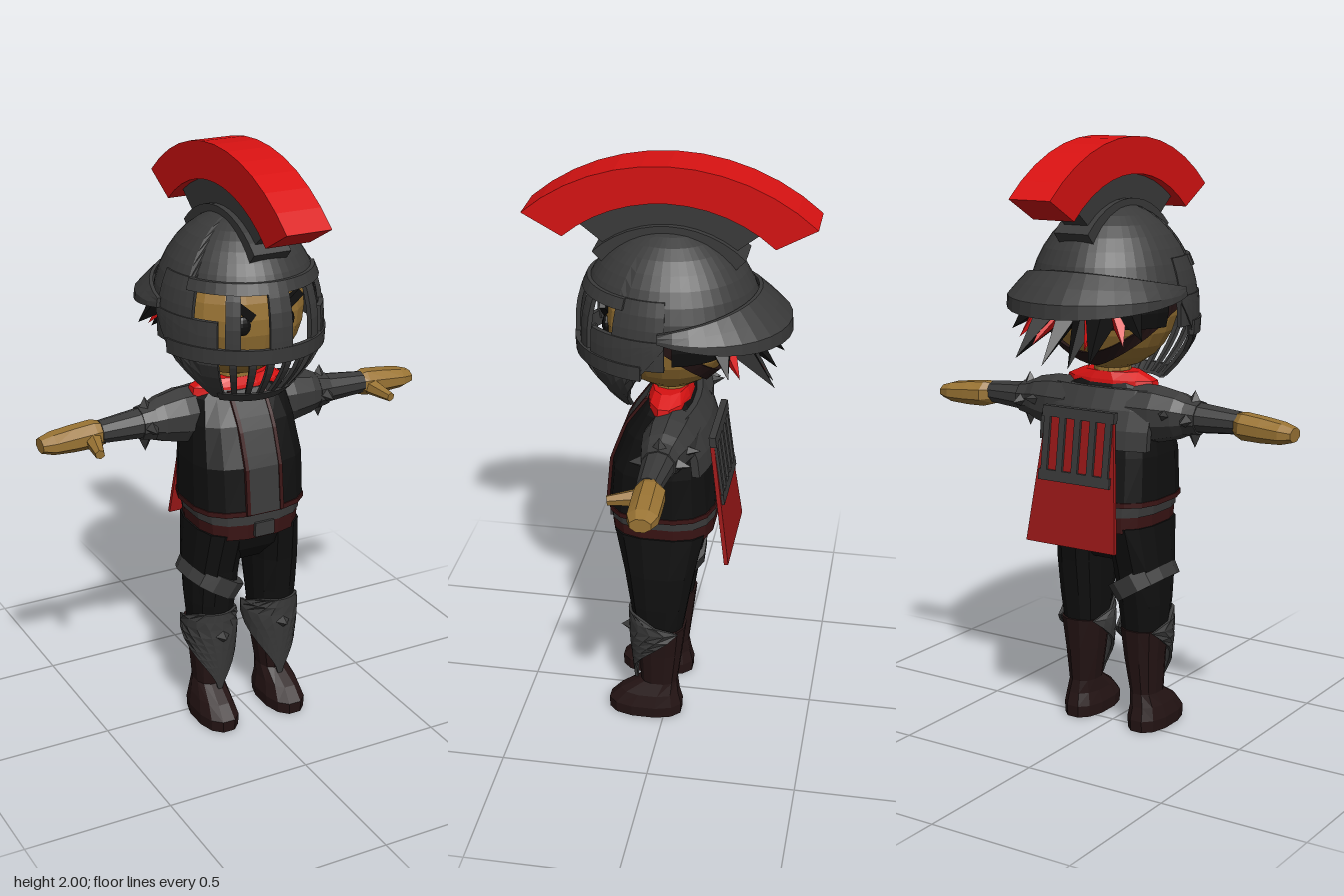
import * as THREE from 'three';

const GREY = 0x3a3a3a, BLACK = 0x101010, RED = 0xd81212, CLOTH = 0x9c1818, SKIN = 0x9a7434, BOOT = 0x241414, TRIM = 0x3a1414;
const V = (x, y, z) => new THREE.Vector3(x, y, z);
const D = Math.PI / 180;

// Stacked rings along y; each row is [y, centre x, centre z, radius x, radius z]
function loft(rows, n = 12, p = 1) {
  const pos = [], idx = [], soft = t => Math.sign(t) * Math.abs(t) ** p;
  for (const [y, cx, cz, rx, rz] of rows)
    for (let j = 0; j < n; j++) {
      const a = (j + 0.5) / n * Math.PI * 2;
      pos.push(cx + rx * soft(Math.sin(a)), y, cz + rz * soft(Math.cos(a)));
    }
  for (let i = 0; i < rows.length - 1; i++)
    for (let j = 0; j < n; j++) {
      const k = (j + 1) % n, a = i * n + j, b = i * n + k;
      idx.push(a, b, b + n, a, b + n, a + n);
    }
  const top = (rows.length - 1) * n;
  for (let j = 1; j < n - 1; j++) idx.push(0, j + 1, j, top, top + j, top + j + 1);
  const g = new THREE.BufferGeometry();
  g.setAttribute('position', new THREE.Float32BufferAttribute(pos, 3));
  g.setIndex(idx);
  g.computeVertexNormals();
  return g;
}

// A thin slab bent by a rule: u in -1..1 across, v in 0..1 upward, w in 0..1 outward
function warp(nu, nv, rule) {
  const g = new THREE.BoxGeometry(2, 1, 1, nu, nv, 1), p = g.attributes.position;
  for (let i = 0; i < p.count; i++) {
    const q = rule(p.getX(i), p.getY(i) + 0.5, p.getZ(i) + 0.5);
    p.setXYZ(i, q.x, q.y, q.z);
  }
  g.computeVertexNormals();
  return g;
}

// Tapered rod or spike between two points
function rod(a, b, r0, r1 = 0, n = 4) {
  const d = b.clone().sub(a), g = new THREE.CylinderGeometry(r1, r0, d.length(), n);
  g.applyQuaternion(new THREE.Quaternion().setFromUnitVectors(V(0, 1, 0), d.clone().normalize()));
  const m = a.clone().add(b).multiplyScalar(0.5);
  return g.translate(m.x, m.y, m.z);
}

function box(w, h, d, x, y, z, tilt = 0) {
  return new THREE.BoxGeometry(w, h, d).rotateZ(tilt).translate(x, y, z);
}

function mirrored(src) {
  const g = src.index ? src.toNonIndexed() : src.clone();
  g.scale(-1, 1, 1);
  const p = g.attributes.position, a = V(0, 0, 0), b = V(0, 0, 0);
  for (let i = 0; i < p.count; i += 3) {
    a.fromBufferAttribute(p, i + 1); b.fromBufferAttribute(p, i + 2);
    p.setXYZ(i + 1, b.x, b.y, b.z); p.setXYZ(i + 2, a.x, a.y, a.z);
  }
  g.computeVertexNormals();
  return g;
}

// Arched band in the z-y plane between two arcs [centre y, radius], spread over +-half degrees
function arch(outer, inner, half, w) {
  const pts = [], N = 12;
  for (let i = 0; i <= N; i++) { const a = (i / N * 2 - 1) * half * D; pts.push(new THREE.Vector2(Math.sin(a) * outer[1], outer[0] + Math.cos(a) * outer[1])); }
  for (let i = N; i >= 0; i--) { const a = (i / N * 2 - 1) * half * D; pts.push(new THREE.Vector2(Math.sin(a) * inner[1], inner[0] + Math.cos(a) * inner[1])); }
  return new THREE.ExtrudeGeometry(new THREE.Shape(pts), { depth: 2 * w, bevelEnabled: false }).translate(0, 0, -w).rotateY(-Math.PI / 2);
}

// Helmet surface at azimuth a (degrees from the front) and height y
function helm(a, y, off = 0) {
  const s = y > 1.45 ? Math.sqrt(Math.max(0, 1 - ((y - 1.45) / 0.34) ** 2))
    : y > 1.38 ? 1 : 1 - 0.42 * ((1.38 - y) / 0.18) ** 1.5;
  return V(Math.sin(a * D) * (0.27 * s + off), y, Math.cos(a * D) * (0.3 * s + off));
}
const plate = (a0, a1, lo, hi, off = 0, nu = 6, nv = 5) => warp(nu, nv, (u, v, w) => {
  const a = a0 + (a1 - a0) * (u + 1) / 2, l = typeof lo === 'function' ? lo(a) : lo;
  return helm(a, l + (hi - l) * v, off - 0.016 + 0.016 * w);
});

// Head surface
function headAt(a, y, off) {
  const s = Math.sqrt(Math.max(0, 1 - ((y - 1.48) / 0.24) ** 2));
  return V(Math.sin(a * D) * (0.225 * s + off), y, Math.cos(a * D) * (0.215 * s + off));
}

export function createModel() {
  const root = new THREE.Group();
  const mats = {};
  const add = (name, g, color) => {
    mats[color] ??= new THREE.MeshStandardMaterial({ color, flatShading: true });
    const m = new THREE.Mesh(g, mats[color]);
    m.name = name;
    root.add(m);
  };
  const pair = (name, g, color) => { add(name + 'Left', g, color); add(name + 'Right', mirrored(g), color); };

  // Head and face
  add('head', new THREE.SphereGeometry(1, 20, 14).scale(0.225, 0.24, 0.215).translate(0, 1.48, 0), SKIN);
  add('neck', loft([[1.17, 0, 0, 0.07, 0.06], [1.28, 0, 0, 0.06, 0.06]], 10), SKIN);
  pair('eye', new THREE.SphereGeometry(1, 10, 8).scale(0.028, 0.032, 0.015).translate(0.078, 1.465, 0.198), BLACK);
  pair('eyebrow', box(0.1, 0.028, 0.02, 0.085, 1.52, 0.2, 0.7), BLACK);
  add('mouth', box(0.05, 0.015, 0.02, 0, 1.35, 0.18), TRIM);
  add('headStrap', warp(18, 1, (u, v, w) => {
    const a = 180 + u * 95, k = Math.max(0, -Math.cos(a * D));
    return headAt(a, 1.48 - 0.19 * k + (v - 0.5) * 0.05, 0.015 * w);
  }), BOOT);

  // Hair: a layer at the back and a fringe of spikes
  add('hairBack', warp(14, 4, (u, v, w) => headAt(180 + u * 80, 1.4 + 0.2 * v, -0.01 + 0.03 * w)), BLACK);
  for (const [x, y, z, r, c] of [[0.14, 1.31, -0.355, 0.07, BLACK], [0.05, 1.29, -0.34, 0.06, BLACK], [0.25, 1.38, -0.22, 0.06, BLACK],
    [0.1, 1.35, -0.32, 0.05, RED], [0.2, 1.36, -0.25, 0.05, RED]])
    pair('hairSpike', rod(V(x * 0.6, 1.49, -0.17), V(x, y, z), r), c);

  // Helmet
  add('helmetDome', warp(48, 9, (u, v, w) => {
    const a = u * 180, low = Math.asin(((Math.abs(a) < 64 ? 1.6 : 1.5) - 1.45) / 0.34);
    return helm(a, 1.45 + 0.34 * Math.sin(low + (Math.PI / 2 - low) * v), -0.012 * (1 - w) * (1 - v));
  }), GREY);
  add('neckGuard', warp(20, 3, (u, v, w) => {
    const a = 180 + u * 90, k = Math.max(0, -Math.cos(a * D));
    const y = 1.5 - 0.05 * k + v * (0.03 + 0.11 * k);
    return helm(a, y, 0.006 + 0.012 * w + 0.075 * k * Math.min(1, 1.5 * (1 - v)));
  }), GREY);
  add('browRim', plate(-66, 66, 1.585, 1.62, 0.012, 18, 1), GREY);
  add('noseGuard', plate(-8, 8, 1.39, 1.62, 0.012, 2), GREY);
  pair('eyeBar', plate(27, 37, 1.39, 1.61, 0.006, 2), GREY);
  pair('sidePanel', plate(60, 94, 1.4, 1.62, 0.004), GREY);
  add('mouthBand', plate(-80, 80, 1.365, 1.415, 0.014, 22, 1), GREY);
  for (const a of [6.5, 19, 32]) pair('mouthBar', plate(a - 2.5, a + 2.5, 1.21, 1.38, 0.004, 1, 6), GREY);
  add('chinRim', plate(-48, 48, 1.2, 1.235, 0.01, 12, 2), GREY);
  pair('cheekGuard', plate(42, 94, a => 1.21 + 0.27 * Math.max(0, (a - 55) / 39), 1.5, 0.008, 8, 6), GREY);

  // Crest and its holder
  add('crest', arch([1.295, 0.705], [1.37, 0.51], 41.5, 0.077), RED);
  add('crestHolder', arch([1.37, 0.515], [1.45, 0.3], 35, 0.045), GREY);
  add('crestBase', arch([1.45, 0.352], [1.45, 0.3], 44, 0.065), GREY);

  // Torso
  const rows = [[0.81, 0, 0.022, 0.2, 0.183], [0.97, 0, 0.02, 0.2, 0.17], [1.1, 0, 0.002, 0.185, 0.14], [1.18, 0, 0, 0.165, 0.085], [1.215, 0, 0, 0.12, 0.06]];
  const chest = y => {
    const i = Math.max(0, Math.min(3, rows.findIndex(r => r[0] > y) - 1)), [p, q] = [rows[i], rows[i + 1]];
    return THREE.MathUtils.lerp(p[2] + p[4], q[2] + q[4], (y - p[0]) / (q[0] - p[0]));
  };
  add('jacket', loft(rows, 16, 0.7), BLACK);
  const strip = (x0, x1, out) => warp(1, 10, (u, v, w) => {
    const y = 0.81 + 0.39 * v;
    return V(x0 + (x1 - x0) * (u + 1) / 2, y, chest(y) - 0.02 + w * (0.02 + out));
  });
  add('shirtFront', strip(-0.055, 0.055, 0.004), GREY);
  pair('jacketEdge', strip(0.055, 0.068, 0.008), TRIM);
  add('jacketHem', loft([[0.805, 0, 0.022, 0.203, 0.186], [0.822, 0, 0.022, 0.203, 0.186]], 16, 0.7), TRIM);
  add('collar', loft([[1.185, 0, 0, 0.175, 0.075], [1.212, 0, 0, 0.17, 0.07], [1.238, 0, 0, 0.11, 0.06]], 12), RED);
  add('backYoke', warp(6, 3, (u, v, w) =>
    V(0.21 * u, 1 + 0.19 * v, -0.135 + 0.065 * v * v + 0.03 * u * u - 0.03 * (1 - w)).setZ(-0.15 + 0.065 * v * v + 0.035 * u * u + 0.025 * w - 0.012)), GREY);

  // Belt and hips
  add('waistBand', loft([[0.77, 0, 0.02, 0.185, 0.18], [0.812, 0, 0.02, 0.188, 0.18]], 16, 0.7), GREY);
  add('belt', loft([[0.715, 0, 0.02, 0.178, 0.174], [0.782, 0, 0.02, 0.182, 0.178]], 16, 0.7), TRIM);
  add('buckle', box(0.07, 0.05, 0.02, 0, 0.75, 0.197), GREY);
  add('hips', loft([[0.6, 0, 0.02, 0.1, 0.08], [0.66, 0, 0.02, 0.17, 0.135], [0.74, 0, 0.02, 0.175, 0.168]], 14, 0.75), BLACK);

  // Legs, boots and knee armour
  pair('leg', loft([[0.33, 0.118, 0.022, 0.07, 0.08], [0.45, 0.118, 0.022, 0.08, 0.1], [0.58, 0.114, 0.02, 0.085, 0.122], [0.73, 0.1, 0.02, 0.085, 0.155]], 12, 0.8), BLACK);
  pair('boot', loft([[0, 0.13, 0.07, 0.068, 0.13], [0.04, 0.13, 0.07, 0.07, 0.132], [0.085, 0.13, 0.055, 0.06, 0.105], [0.13, 0.125, 0.022, 0.05, 0.065],
    [0.25, 0.12, 0.018, 0.064, 0.076], [0.36, 0.12, 0.015, 0.077, 0.086]], 12, 0.85), BOOT);
  pair('greave', warp(10, 10, (u, v, w) => {
    const y = 0.12 + 0.3 * v, a = u * (v < 0.8 ? 0.1 + 2.2 * (v / 0.8) ** 1.4 : 2.3 - 7.5 * (v - 0.8));
    const r = 0.068 + 0.02 * Math.min(1, v / 0.7) + 0.01 * w;
    return V(0.118 + r * Math.sin(a), y, 0.02 + (r + 0.012) * Math.cos(a));
  }), GREY);
  pair('kneeSpike', rod(V(0.117, 0.335, 0.11), V(0.117, 0.335, 0.158), 0.036), GREY);
  add('thighBand', loft([[-0.032, 0, 0, 0.101, 0.122], [0.032, 0, 0, 0.105, 0.128]], 12, 0.8).rotateZ(-0.55).translate(-0.116, 0.525, 0.02), GREY);

  // Arms: lofted upward, then laid along x
  const arm = (r, n) => loft(r, n).rotateZ(-Math.PI / 2).translate(0, 1.1, 0);
  pair('sleeve', arm([[0.12, -0.01, -0.03, 0.095, 0.09], [0.2, -0.01, -0.025, 0.095, 0.09], [0.275, -0.012, -0.02, 0.078, 0.076],
    [0.33, -0.012, -0.016, 0.052, 0.056], [0.49, -0.01, -0.01, 0.038, 0.04]], 10), GREY);
  pair('hand', arm([[0.475, -0.006, -0.01, 0.038, 0.034], [0.51, -0.004, -0.02, 0.046, 0.052], [0.58, 0, -0.021, 0.043, 0.053],
    [0.65, 0.003, -0.022, 0.036, 0.052], [0.69, 0.004, -0.022, 0.024, 0.036]], 8), SKIN);
  pair('thumb', rod(V(0.52, 1.095, 0.01), V(0.54, 1.085, 0.11), 0.03, 0.016, 6), SKIN);
  pair('armBand', arm([[0.305, -0.011, -0.016, 0.065, 0.066], [0.35, -0.011, -0.016, 0.055, 0.058]], 10), GREY);
  for (let i = 0; i < 4; i++) {
    const s = Math.sin(i * Math.PI / 2), c = Math.cos(i * Math.PI / 2);
    pair('armSpike', rod(V(0.325, 1.11 + 0.045 * c, -0.016 + 0.045 * s), V(0.327, 1.105 + 0.095 * c, -0.016 + 0.102 * s), 0.028), GREY);
  }
  pair('shoulderSpike', rod(V(0.25, 1.12, -0.08), V(0.265, 1.13, -0.14), 0.025), GREY);

  // Cape with its slatted frame
  const capeZ = y => -0.155 - 0.062 * (1.12 - y) / 0.45;
  add('cape', warp(6, 6, (u, v, w) => {
    const y = 0.67 + 0.45 * v, x = 0.025 + u * (0.175 - 0.045 * v);
    return V(x, y, capeZ(y) + 0.014 * (w - 0.5));
  }), CLOTH);
  const slat = (x0, x1, y0, y1) => warp(1, 1, (u, v, w) => {
    const y = y0 + (y1 - y0) * v;
    return V((x0 + x1) / 2 + u * (x1 - x0) / 2, y, capeZ(y) - 0.016 + 0.022 * w);
  });
  for (let i = 0; i < 5; i++) {
    const x = -0.095 + i * 0.06;
    add('capeSlat', slat(x - 0.012, x + 0.012, 0.88, 1.12), GREY);
  }
  for (const y of [0.88, 1.09]) add('capeRail', slat(-0.115, 0.165, y, y + 0.035), GREY);
  return root;
}
